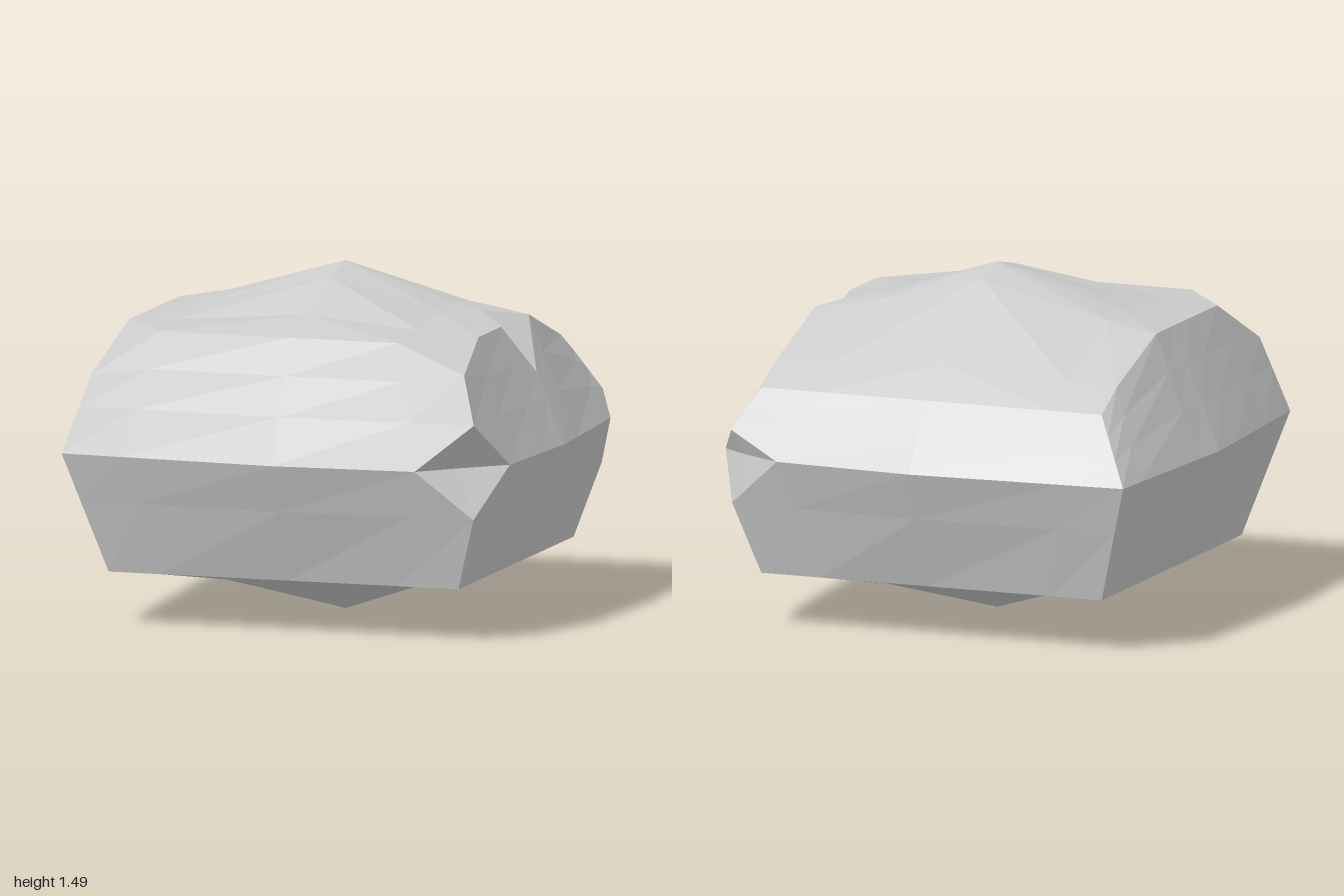
import * as THREE from 'three';

// Grid lines of the top and bottom caps, and where those lines meet the equator
const xs = [-0.78, -0.55, 0.02, 0.51, 0.78];
const zs = [-0.77, -0.6, -0.17, 0, 0.2, 0.5, 0.77];
const eqX = [-0.94, -0.66, 0.02, 0.64, 0.94];
const eqZ = [-0.92, -0.75, -0.2, 0, 0.23, 0.62, 0.92];
// Bulge of the caps along x and z; the top slopes down towards the back
const bulgeX = [0, 0.24, 1, 0.27, 0];
const bulgeZ = [0, 0.17, 0.8, 1, 0.8, 0.27, 0];
const rimY = [1.03, 1.12, 1.27, 1.27, 1.27, 1.27, 1.27];
const LX = xs.length - 1, LZ = zs.length - 1;

// Dented points, keyed by grid index
const topDents = { '0,6': [-0.665, 1.27, 0.635], '4,6': [0.645, 1.27, 0.635], '4,3': [0.63, 1.305, 0] };
const equatorDents = { '4,6': [0.79, 0.75, 0.78], '4,0': [0.82, 0.75, -0.84] };
// How far down the wall each top dent reaches
const dentDepth = { '0,6': 0.37, '4,6': 0.23, '4,3': 0.42 };

const vec = (a) => new THREE.Vector3(...a);
const rim = (i, j) => new THREE.Vector3(xs[i], rimY[j] + 0.22 * bulgeX[i] * bulgeZ[j], zs[j]);
const top = (i, j) => (topDents[[i, j]] ? vec(topDents[[i, j]]) : rim(i, j));
const bottom = (i, j) => new THREE.Vector3(xs[i], 0.23 * (1 - bulgeX[i] * bulgeZ[j]), zs[j]);

function equator(i, j) {
  let x = eqX[i], z = eqZ[j];
  if (j === 0 || j === LZ) z = Math.sign(z) * (0.98 - 0.06 * Math.abs(x) / 0.94);
  if (i === 0 || i === LX) x = Math.sign(x) * (1 - 0.06 * Math.abs(eqZ[j]) / 0.92);
  return new THREE.Vector3(x, 0.75, z);
}

// One wall column, from the bottom rim to the top rim
function column([i, j]) {
  const key = [i, j].join();
  const e = equator(i, j), b = bottom(i, j), r = rim(i, j);
  const dentedEquator = equatorDents[key];
  const points = [
    b,
    e.clone().lerp(b, 0.4),
    dentedEquator ? vec(dentedEquator) : e,
    r.clone().lerp(e, 0.62),
    r.clone().lerp(e, dentDepth[key] ?? 0.3),
    top(i, j),
  ];
  const dented = points.map((_, k) => (k === 2 && !!dentedEquator) || (k === 5 && key in topDents));
  return { points, dented };
}

// Quad a-b-c-d, split along a-c or b-d
function quad(out, a, b, c, d, splitBD) {
  const tris = splitBD ? [a, b, d, b, c, d] : [a, b, c, a, c, d];
  for (const p of tris) out.push(p.x, p.y, p.z);
}

function flatMesh(name, positions) {
  const geometry = new THREE.BufferGeometry();
  geometry.setAttribute('position', new THREE.Float32BufferAttribute(positions, 3));
  geometry.computeVertexNormals();
  const mesh = new THREE.Mesh(geometry, new THREE.MeshStandardMaterial({ color: 0xcccccc, flatShading: true }));
  mesh.name = name;
  return mesh;
}

// Domed cap: diagonals run outwards from the centre
function cap(name, point, faceUp) {
  const out = [];
  for (let i = 0; i < LX; i++) {
    for (let j = 0; j < LZ; j++) {
      const a = point(i, j), b = point(i, j + 1), c = point(i + 1, j + 1), d = point(i + 1, j);
      const splitBD = (i >= 2) !== (j >= 3);
      if (faceUp) quad(out, a, b, c, d, splitBD);
      else quad(out, a, d, c, b, splitBD);
    }
  }
  return flatMesh(name, out);
}

// Walls around the four sides; diagonals avoid dented points so the chips stay crisp
function walls() {
  const ring = [];
  for (let i = 0; i < LX; i++) ring.push([i, LZ]);
  for (let j = LZ; j > 0; j--) ring.push([LX, j]);
  for (let i = LX; i > 0; i--) ring.push([i, 0]);
  for (let j = 0; j < LZ; j++) ring.push([0, j]);
  const columns = ring.map(column);
  const out = [];
  columns.forEach((p, n) => {
    const q = columns[(n + 1) % columns.length];
    for (let k = 0; k < p.points.length - 1; k++) {
      const splitBD = p.dented[k] || q.dented[k + 1];
      quad(out, p.points[k], q.points[k], q.points[k + 1], p.points[k + 1], splitBD);
    }
  });
  return flatMesh('rockSides', out);
}

export function createModel() {
  const rock = new THREE.Group();
  rock.name = 'rock';
  rock.add(cap('rockTop', top, true), walls(), cap('rockUnderside', bottom, false));
  return rock;
}
